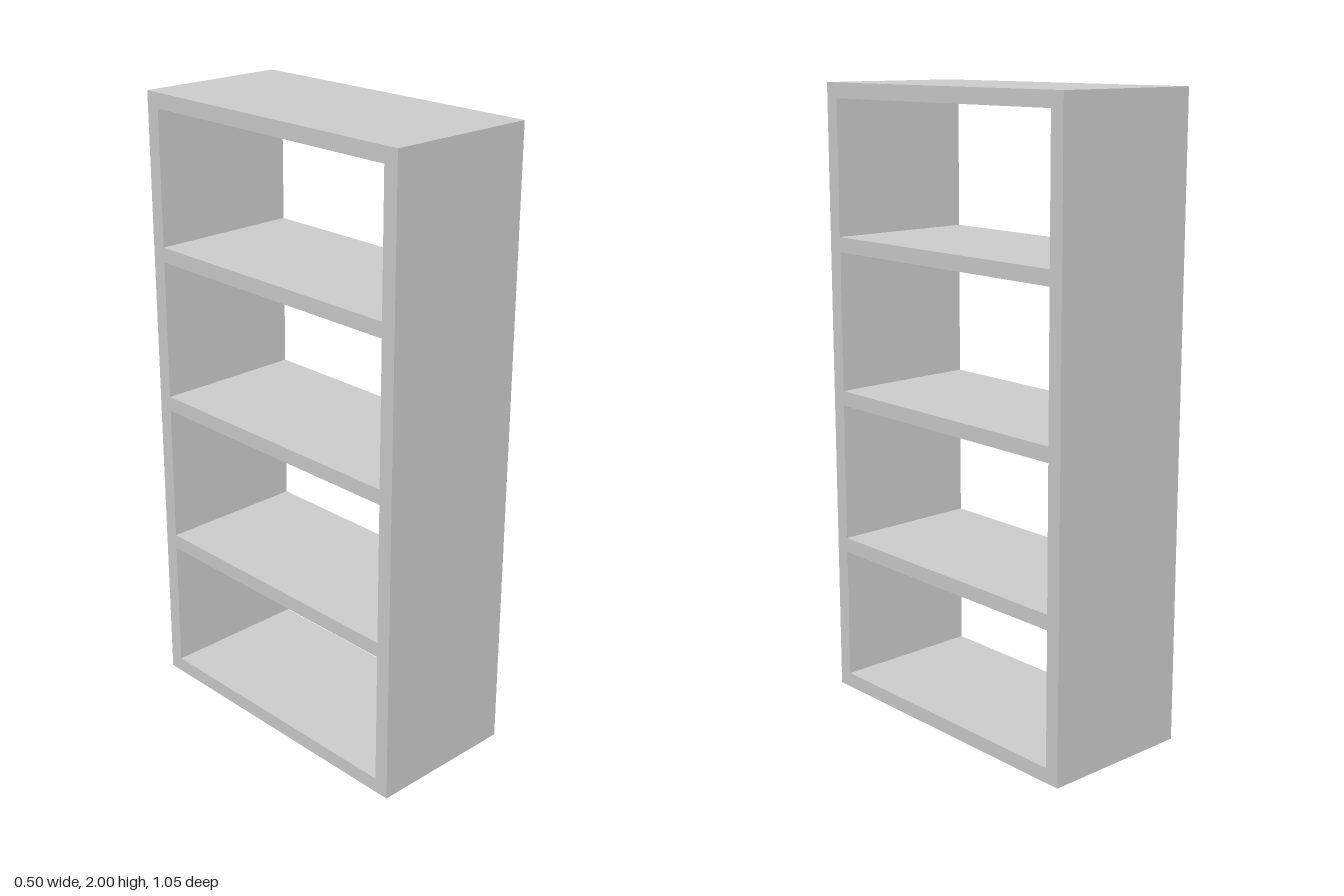
import * as THREE from 'three';

const HEIGHT = 2, WIDTH = 1.048, DEPTH = 0.497, BOARD = 0.048;

// Adds a closed rectangle to a shape or path
function rectangle(path, left, bottom, right, top) {
  path.moveTo(left, bottom);
  path.lineTo(right, bottom);
  path.lineTo(right, top);
  path.lineTo(left, top);
  path.closePath();
  return path;
}

export function createModel() {
  const group = new THREE.Group();
  group.name = 'bookcase';

  // Outer outline of the case
  const outline = rectangle(new THREE.Shape(), -WIDTH / 2, 0, WIDTH / 2, HEIGHT);

  // Open compartments between the bottom, three shelves and the top
  const boards = [BOARD / 2, 0.502, 1, 1.498, HEIGHT - BOARD / 2];
  const inner = WIDTH / 2 - BOARD;
  for (let i = 0; i < boards.length - 1; i++) {
    outline.holes.push(rectangle(new THREE.Path(),
      -inner, boards[i] + BOARD / 2, inner, boards[i + 1] - BOARD / 2));
  }

  // Case runs through along x, open on both sides
  const geometry = new THREE.ExtrudeGeometry(outline, { depth: DEPTH, bevelEnabled: false });
  geometry.translate(0, 0, -DEPTH / 2);
  geometry.rotateY(Math.PI / 2);

  const frame = new THREE.Mesh(geometry, new THREE.MeshStandardMaterial({ color: 0xcccccc }));
  frame.name = 'shelfFrame';
  group.add(frame);
  return group;
}
